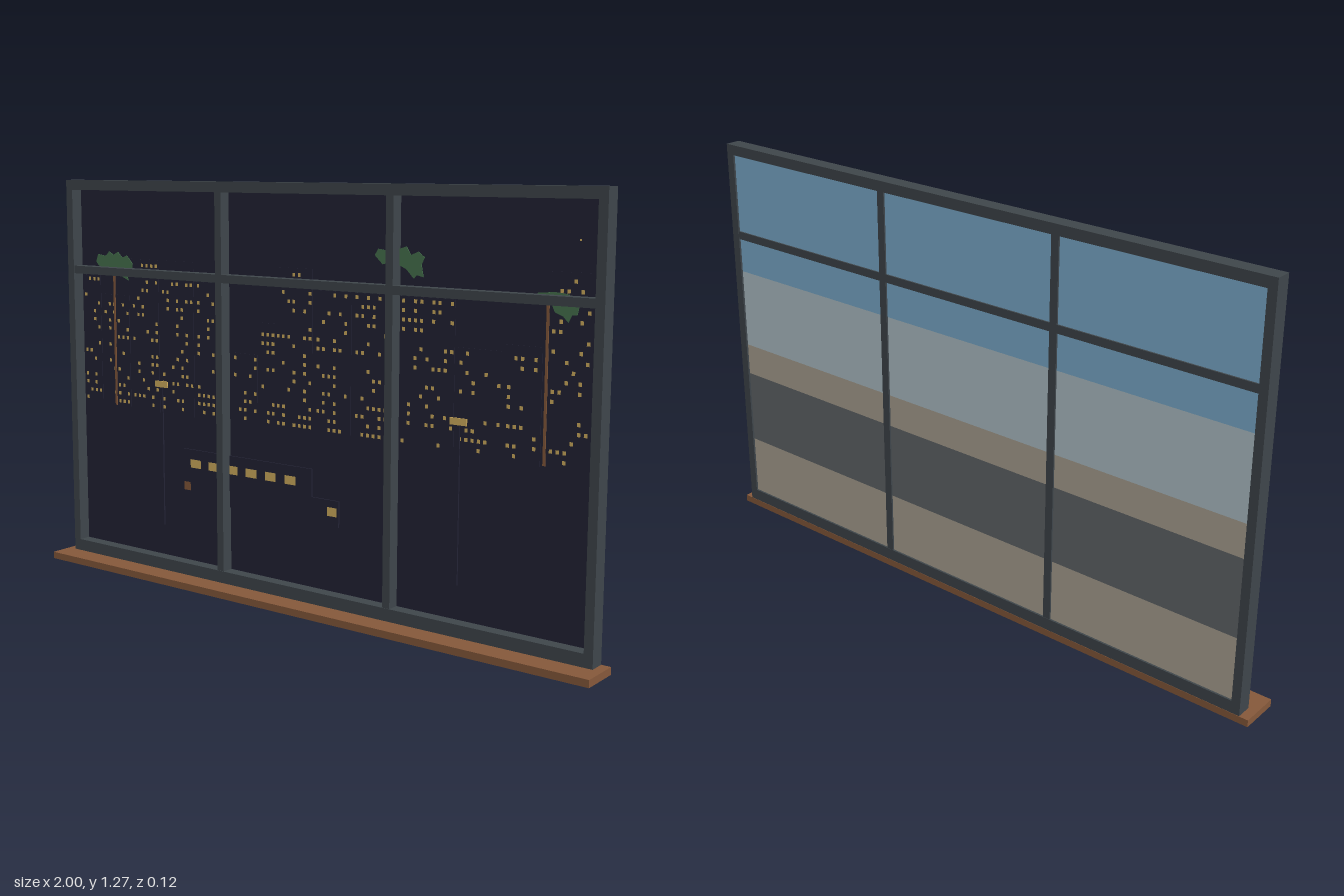
import * as THREE from 'three';
import { mergeGeometries } from 'three/addons/utils/BufferGeometryUtils.js';

const mat = (name, color) => new THREE.MeshStandardMaterial({ name, color });

export function createModel() {
  const model = new THREE.Group();
  model.name = 'cityWindow';
  const frameGrey = mat('frameGrey', 0x3f464b);
  const wood = mat('wood', 0x86593b);
  const night = mat('night', 0x232335);
  const glow = mat('glow', 0xd4b060);
  const leaf = mat('leaf', 0x47744f);
  const sky = mat('skyBlue', 0x7fb0d2);
  const haze = mat('haze', 0xb4c6cd);
  const pavement = mat('pavement', 0xaea595);
  const road = mat('road', 0x63686b);

  const add = (name, geometry, material, parent = model) => {
    const mesh = new THREE.Mesh(geometry, material);
    mesh.name = name;
    parent.add(mesh);
    return mesh;
  };
  // box given by its limits
  const block = (x0, x1, y0, y1, z0, z1) =>
    new THREE.BoxGeometry(x1 - x0, y1 - y0, z1 - z0)
      .translate((x0 + x1) / 2, (y0 + y1) / 2, (z0 + z1) / 2);
  // front-facing rectangle given by its centre
  const pane = (x, y, w, h, z) => new THREE.PlaneGeometry(w, h).translate(x, y, z);

  // sill and outer frame
  add('sill', block(-1, 1, 0, 0.022, -0.062, 0.062), wood);
  add('bottomRail', block(-0.972, 0.972, 0.022, 0.06, -0.061, -0.012), frameGrey);
  add('topRail', block(-0.972, 0.972, 1.238, 1.27, -0.061, -0.012), frameGrey);
  for (const s of [-1, 1]) {
    add(s > 0 ? 'leftJamb' : 'rightJamb',
      block(s * 0.9585 - 0.0135, s * 0.9585 + 0.0135, 0.06, 1.238, -0.061, -0.012), frameGrey);
    add(s > 0 ? 'leftMullion' : 'rightMullion',
      block(s * 0.315 - 0.0125, s * 0.315 + 0.0125, 0.06, 1.238, -0.06, -0.014), frameGrey);
  }
  add('transom', block(-0.945, 0.945, 0.965, 0.99, -0.06, -0.014), frameGrey);

  // day scene bands on the back
  const bands = [
    ['skyBand', 0.855, 1.238, sky], ['hazeBand', 0.6, 0.855, haze],
    ['farPavement', 0.497, 0.6, pavement], ['roadBand', 0.255, 0.497, road],
    ['nearPavement', 0.06, 0.255, pavement],
  ];
  for (const [name, y0, y1, m] of bands) add(name, block(-0.945, 0.945, y0, y1, -0.055, -0.053), m);

  // night scene on the front
  add('nightSky', block(-0.945, 0.945, 0.06, 1.238, -0.053, -0.0515), night);

  // skyline: x0, x1, roof height, share of lit windows
  const buildings = [
    [-0.94, -0.86, 0.96, 0.34], [-0.85, -0.73, 0.9, 0.3], [-0.72, -0.6, 1.02, 0.34],
    [-0.59, -0.45, 1.02, 0.36], [-0.44, -0.33, 0.96, 0.34], [-0.29, -0.19, 0.75, 0.4],
    [-0.18, -0.12, 0.85, 0.38], [-0.12, 0.02, 1.02, 0.32], [0.03, 0.16, 0.96, 0.4],
    [0.17, 0.31, 0.96, 0.34], [0.33, 0.51, 0.96, 0.34], [0.52, 0.67, 0.83, 0.28],
    [0.67, 0.78, 0.85, 0.32], [0.8, 0.93, 1.05, 0.36],
  ];
  let seed = 7;
  const rand = () => (seed = (seed * 16807) % 2147483647) / 2147483647;
  const walls = [];
  const lights = [pane(0.88, 1.133, 0.005, 0.005, -0.0495), pane(-0.345, 1.05, 0.01, 0.014, -0.0495)];
  for (const [x0, x1, top, share] of buildings) {
    walls.push(block(x0, x1, 0.53, top, -0.0515, -0.05));
    for (let x = x0 + 0.011; x < x1 - 0.005; x += 0.02)
      for (let y = 0.55; y < top - 0.01; y += 0.0265)
        if (rand() < share) lights.push(pane(x, y, 0.01, 0.011, -0.0495));
  }
  add('buildings', mergeGeometries(walls), night);
  add('buildingWindows', mergeGeometries(lights), glow);

  // palms: trunk and ragged crown
  const palm = (name, x, trunkTop, points) => {
    const group = new THREE.Group();
    group.name = name;
    model.add(group);
    add('trunk', block(x - 0.004, x + 0.004, 0.535, trunkTop, -0.0495, -0.0475), wood, group);
    const shape = new THREE.Shape(points.map(([px, py]) => new THREE.Vector2(x + px, py)));
    const crown = new THREE.ExtrudeGeometry(shape, { depth: 0.002, bevelEnabled: false });
    add('crown', crown.translate(0, 0, -0.0485), leaf, group);
  };
  palm('rightPalm', -0.795, 0.99, [
    [-0.08, 1.005], [-0.07, 1.03], [-0.035, 1.025], [-0.02, 1.04], [0, 1.03], [0.02, 1.04],
    [0.04, 1.022], [0.06, 1.03], [0.085, 1.005], [0.085, 0.98], [0.06, 0.975], [0.065, 0.95],
    [0.04, 0.96], [0.01, 0.98], [-0.06, 0.985]]);
  palm('middlePalm', 0.315, 1.06, [
    [-0.072, 1.07], [-0.06, 1.088], [-0.035, 1.085], [-0.02, 1.1], [0.01, 1.09], [0.035, 1.098],
    [0.05, 1.075], [0.075, 1.085], [0.095, 1.07], [0.085, 1.05], [0.092, 1.015], [0.07, 1.02],
    [0.06, 1.01], [0.035, 1.035], [0, 1.05], [-0.025, 1.05], [-0.045, 1.045]]);
  palm('leftPalm', 0.793, 0.98, [
    [-0.04, 0.97], [-0.03, 0.993], [0.02, 0.997], [0.06, 0.993], [0.07, 0.97], [0.09, 0.963],
    [0.085, 0.94], [0.07, 0.94], [0.06, 0.92], [0.045, 0.935], [0.02, 0.945], [0.01, 0.968]]);

  // street lamps
  for (const [x, y] of [[-0.59, 0.623], [0.527, 0.625]]) {
    add('lampPost', block(x - 0.005, x + 0.005, 0.16, y, -0.0515, -0.0465), night);
    add('lampHead', block(x - 0.027, x + 0.027, y - 0.01, y + 0.01, -0.0495, -0.046), glow);
  }

  // bus with lit windows and lights
  add('busBody', block(-0.495, 0.02, 0.26, 0.425, -0.0515, -0.0465), night);
  add('busHood', block(0.02, 0.12, 0.26, 0.34, -0.0515, -0.0465), night);
  const busWindows = [];
  for (let i = 0; i < 6; i++) busWindows.push(pane(-0.444 + i * 0.0764, 0.38, 0.043, 0.027, -0.046));
  add('busWindows', mergeGeometries(busWindows), glow);
  add('headlight', pane(0.096, 0.305, 0.036, 0.027, -0.046), glow);
  add('tailLight', pane(-0.48, 0.305, 0.027, 0.027, -0.046), wood);

  return model;
}
